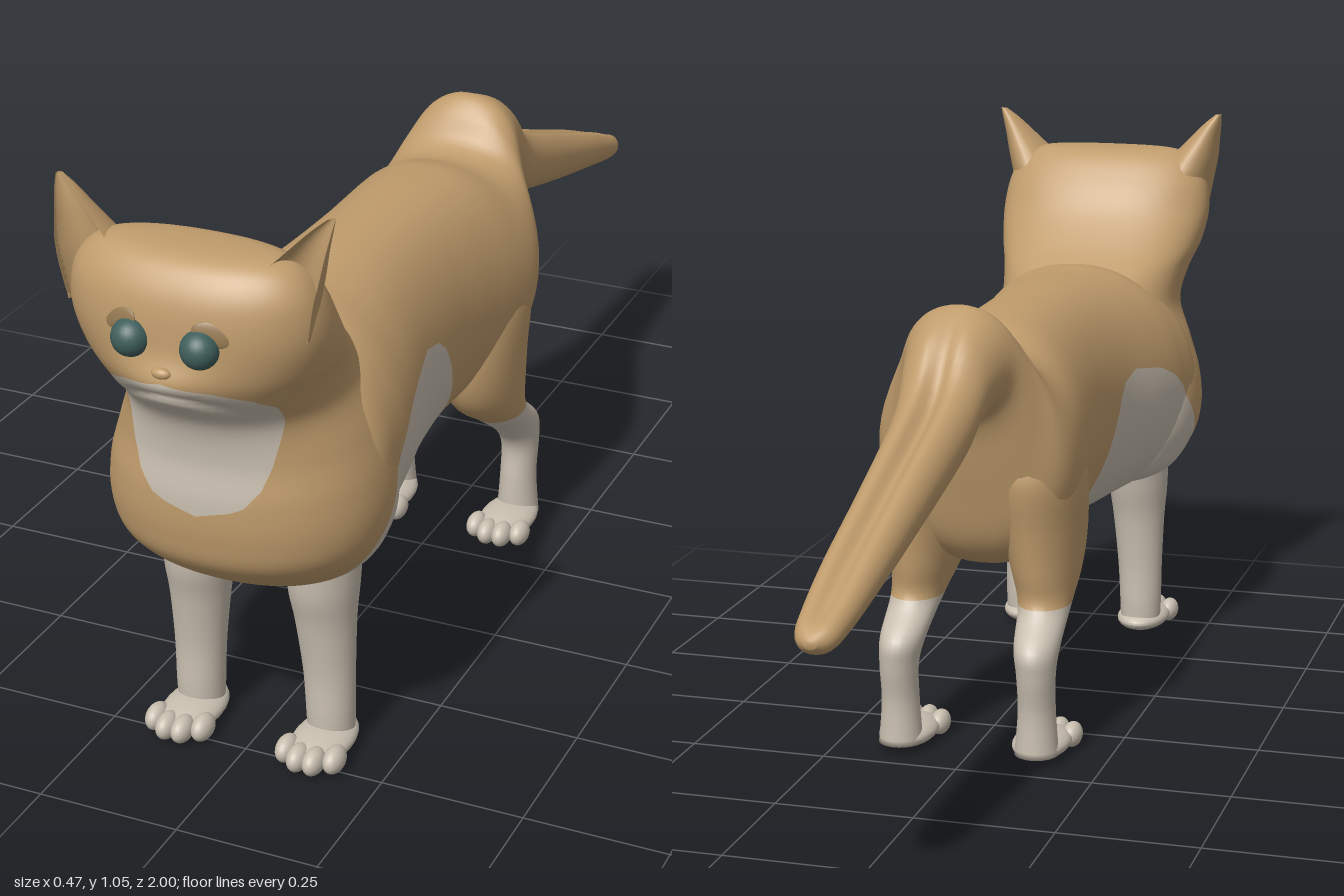
import * as THREE from 'three';

const fur = new THREE.MeshStandardMaterial({ color: 0xc09c6c });
fur.name = 'tanFur';
const cream = new THREE.MeshStandardMaterial({ color: 0xc9bfb0 });
cream.name = 'creamFur';
const eyeTeal = new THREE.MeshStandardMaterial({ color: 0x3f5f5c });
eyeTeal.name = 'eyeTeal';
const lidBrown = new THREE.MeshStandardMaterial({ color: 0x967a52 });
lidBrown.name = 'lidBrown';

// Smoothly subdivide rows of section values
function refine(rows, k) {
  const out = [];
  const at = i => rows[Math.max(0, Math.min(rows.length - 1, i))];
  for (let i = 0; i < rows.length - 1; i++) {
    for (let j = 0; j < k; j++) {
      const t = j / k;
      out.push(rows[i].map((b, c) => {
        const a = at(i - 1)[c], d = at(i + 1)[c], e = at(i + 2)[c];
        return b + 0.5 * t * (d - a + t * (2 * a - 5 * b + 4 * d - e + t * (3 * (b - d) + e - a)));
      }));
    }
  }
  out.push(rows[rows.length - 1]);
  return out;
}

// Closed skin through rings; point(row, angle) gives [x, y, z]
function loft(rows, n, point, k = 5) {
  const pos = [], idx = [];
  const rings = refine(rows, k).map(r =>
    Array.from({ length: n }, (_, j) => point(r, (j / n) * Math.PI * 2)));
  rings.forEach(ring => ring.forEach(p => pos.push(...p)));
  const last = rings.length - 1;
  for (let i = 0; i < last; i++) {
    for (let j = 0; j < n; j++) {
      const a = i * n + j, b = i * n + (j + 1) % n;
      idx.push(a, b, a + n, b, b + n, a + n);
    }
  }
  [0, last].forEach((i, e) => {
    const c = pos.length / 3;
    pos.push(...[0, 1, 2].map(q => rings[i].reduce((s, p) => s + p[q], 0) / n));
    for (let j = 0; j < n; j++) {
      const a = i * n + j, b = i * n + (j + 1) % n;
      if (e) idx.push(a, b, c); else idx.push(b, a, c);
    }
  });
  // Turn the skin outward if its signed volume is negative
  const v = i => new THREE.Vector3().fromArray(pos, i * 3);
  let volume = 0;
  for (let i = 0; i < idx.length; i += 3) volume += v(idx[i]).dot(v(idx[i + 1]).cross(v(idx[i + 2])));
  if (volume < 0) idx.reverse();
  const g = new THREE.BufferGeometry();
  g.setAttribute('position', new THREE.Float32BufferAttribute(pos, 3));
  g.setIndex(idx);
  g.computeVertexNormals();
  return g;
}

// Cut triangles along f = 0; the positive side becomes the second group
function splitColours(geometry, f) {
  const P = geometry.attributes.position, N = geometry.attributes.normal, I = geometry.index;
  const sides = [[], []];
  for (let i = 0; i < I.count; i += 3) {
    const tri = [0, 1, 2].map(q => {
      const a = I.getX(i + q);
      const d = [P.getX(a), P.getY(a), P.getZ(a), N.getX(a), N.getY(a), N.getZ(a)];
      return { d, f: f(d[0], d[1], d[2]) };
    });
    [-1, 1].forEach((s, side) => {
      const poly = [];
      tri.forEach((a, q) => {
        const b = tri[(q + 1) % 3];
        const inA = s > 0 ? a.f > 0 : a.f <= 0, inB = s > 0 ? b.f > 0 : b.f <= 0;
        if (inA) poly.push(a.d);
        if (inA !== inB) poly.push(a.d.map((x, c) => x + (b.d[c] - x) * a.f / (a.f - b.f)));
      });
      for (let q = 1; q < poly.length - 1; q++) sides[side].push(poly[0], poly[q], poly[q + 1]);
    });
  }
  const all = sides[0].concat(sides[1]);
  const g = new THREE.BufferGeometry();
  g.setAttribute('position', new THREE.Float32BufferAttribute(all.flatMap(p => p.slice(0, 3)), 3));
  g.setAttribute('normal', new THREE.Float32BufferAttribute(all.flatMap(p => p.slice(3)), 3));
  g.addGroup(0, sides[0].length, 0);
  g.addGroup(sides[0].length, sides[1].length, 1);
  return g;
}

// Linear lookup in a list of [x, y] pairs with rising x
function lookup(table, x) {
  if (x <= table[0][0]) return table[0][1];
  for (let i = 1; i < table.length; i++) {
    const [x0, y0] = table[i - 1], [x1, y1] = table[i];
    if (x <= x1) return y0 + (y1 - y0) * (x - x0) / (x1 - x0);
  }
  return table[table.length - 1][1];
}

// Cream belly height along z, and bib half-width along y
const belly = [[0.14, 0.25], [0.165, 0.34], [0.19, 0.4], [0.245, 0.51], [0.28, 0.57], [0.31, 0.6], [0.38, 0.618],
  [0.49, 0.6], [0.55, 0.575], [0.6, 0.54], [0.675, 0.445], [0.72, 0.385], [0.76, 0.352]];
const bib = [[0.525, -0.02], [0.533, 0.04], [0.55, 0.08], [0.58, 0.105], [0.62, 0.12], [0.7, 0.138], [0.74, 0.142],
  [0.765, 0.12], [0.785, 0.075], [0.797, 0.01], [0.805, -0.03]];
const creamArea = (x, y, z) =>
  Math.max(lookup(belly, z) - y, Math.min(lookup(bib, y) - Math.abs(x), z - 0.76));

const bend = (v, e) => Math.sign(v) * Math.abs(v) ** e;
const bump = (a, r) => Math.exp(-((a / r) ** 2));

export function createModel() {
  const model = new THREE.Group();
  function add(name, geometry, material, parent = model) {
    const m = new THREE.Mesh(geometry, material);
    m.name = name;
    parent.add(m);
    return m;
  }
  function ball(name, material, p, r, parent) {
    const m = add(name, new THREE.SphereGeometry(1, 24, 16), material, parent);
    m.position.set(...p);
    m.scale.set(...r);
    return m;
  }

  // Trunk running into the tail: z, bottom, top, half-width, groove depth
  const trunk = [
    [0.78, 0.42, 0.66, 0.13, 0], [0.7, 0.335, 0.74, 0.22, 0], [0.6, 0.31, 0.778, 0.222, 0],
    [0.5, 0.313, 0.78, 0.207, 0], [0.35, 0.32, 0.785, 0.176, 0], [0.2, 0.335, 0.785, 0.165, 0],
    [0.08, 0.335, 0.783, 0.17, 0], [-0.02, 0.33, 0.776, 0.18, 0], [-0.1, 0.35, 0.756, 0.184, 0],
    [-0.15, 0.4, 0.77, 0.168, 0], [-0.185, 0.51, 0.82, 0.13, 0], [-0.225, 0.635, 0.84, 0.1, 0],
    [-0.3, 0.625, 0.805, 0.08, 0.015], [-0.39, 0.58, 0.72, 0.07, 0.03], [-0.6, 0.522, 0.636, 0.06, 0.025],
    [-0.8, 0.475, 0.563, 0.052, 0.02], [-0.92, 0.447, 0.515, 0.043, 0.015],
    [-0.975, 0.44, 0.492, 0.033, 0.006], [-1, 0.455, 0.47, 0.01, 0]];
  add('trunkAndTail', splitColours(loft(trunk, 56, ([z, lo, hi, w, groove], a) => {
    const x = w * bend(Math.cos(a), 0.9), s = Math.sin(a);
    const dent = s > 0 ? groove * bump(x, 0.018) : 0;
    return [x, (lo + hi) / 2 + (hi - lo) / 2 * s - dent, z];
  }), creamArea), [fur, cream]);

  // Chest, neck and head as one column: y, front z, back z, half-width
  const column = [
    [0.33, 0.72, 0.56, 0.1], [0.36, 0.8, 0.5, 0.18], [0.42, 0.872, 0.48, 0.22], [0.48, 0.892, 0.48, 0.234],
    [0.55, 0.896, 0.48, 0.228], [0.62, 0.89, 0.49, 0.207], [0.69, 0.905, 0.52, 0.18], [0.75, 0.95, 0.57, 0.187],
    [0.8, 0.968, 0.64, 0.205], [0.86, 0.973, 0.705, 0.214], [0.92, 0.965, 0.75, 0.205],
    [0.96, 0.943, 0.785, 0.18], [0.98, 0.915, 0.815, 0.14], [0.985, 0.88, 0.85, 0.08]];
  add('chestAndHead', splitColours(loft(column, 88, ([y, zf, zb, w], a) => {
    const x = w * bend(Math.cos(a), 0.9), s = Math.sin(a);
    let z = (zf + zb) / 2 + (zf - zb) / 2 * bend(s, 0.9);
    if (s > 0) { // muzzle swelling and mouth crease
      z += 0.024 * bump(x, 0.08) * bump(y - 0.79, 0.035);
      z -= 0.016 * bump(x, 0.075) * bump(y - 0.765 + 2.8 * x * x, 0.01);
    }
    return [x, y, z];
  }, 7), creamArea), [fur, cream]);
  ball('nose', fur, [0, 0.815, 0.985], [0.016, 0.009, 0.009]);

  // Leg sections: y, centre x, centre z, x radius, z radius
  const frontLeg = [[0.42, 0.115, 0.665, 0.06, 0.08], [0.32, 0.114, 0.672, 0.059, 0.07],
    [0.25, 0.116, 0.672, 0.052, 0.054], [0.15, 0.12, 0.67, 0.045, 0.042],
    [0.07, 0.122, 0.67, 0.042, 0.042], [0.02, 0.122, 0.67, 0.04, 0.04]];
  const hindLeg = [[0.6, 0.08, -0.05, 0.07, 0.1], [0.52, 0.095, -0.05, 0.085, 0.13],
    [0.42, 0.105, -0.035, 0.075, 0.13], [0.34, 0.113, -0.045, 0.062, 0.11],
    [0.28, 0.12, -0.085, 0.048, 0.068], [0.22, 0.125, -0.158, 0.041, 0.06],
    [0.17, 0.128, -0.177, 0.035, 0.044], [0.1, 0.128, -0.17, 0.034, 0.04], [0.02, 0.128, -0.17, 0.04, 0.043]];

  for (const s of [1, -1]) {
    const side = s > 0 ? 'left' : 'right';
    const legPoint = ([y, cx, cz, rx, rz], a) => [s * cx + rx * Math.cos(a), y, cz + rz * Math.sin(a)];
    add(side + 'FrontLeg', loft(frontLeg, 28, legPoint), cream);
    add(side + 'HindLeg', splitColours(loft(hindLeg, 28, legPoint), (x, y) => 0.28 - y), [fur, cream]);

    // Paws with four toes each
    [[0.122, 0.7, 'FrontPaw'], [0.126, -0.125, 'HindPaw']].forEach(([px, pz, name]) => {
      const paw = new THREE.Group();
      paw.name = side + name;
      paw.position.set(s * px, 0, pz);
      model.add(paw);
      ball('pad', cream, [0, 0.028, 0], [0.052, 0.024, 0.085], paw);
      [-1.5, -0.5, 0.5, 1.5].forEach(t =>
        ball('toe', cream, [t * 0.029, 0.028, 0.072 - 0.009 * t * t], [0.018, 0.023, 0.03], paw));
    });

    // Ear: crescent sections narrowing to the tip; y, centre x, rim z, half-width, depth
    const ear = [[0.86, 0.145, 0.9, 0.058, 0.1], [0.92, 0.152, 0.905, 0.062, 0.105],
      [0.96, 0.17, 0.9, 0.052, 0.085], [1, 0.193, 0.888, 0.034, 0.055],
      [1.035, 0.214, 0.875, 0.018, 0.028], [1.055, 0.228, 0.865, 0.006, 0.008]];
    add(side + 'Ear', loft(ear, 32, ([y, cx, z, w, d], a) => {
      const v = Math.sin(a), u = w * Math.cos(a);
      return [s * cx + u, y + s * u * 0.1, z + d * (v < 0 ? v : -0.6 * v)];
    }), fur);

    // Eye with a darker lid above it
    ball(side + 'Eye', eyeTeal, [s * 0.058, 0.858, 0.968], [0.031, 0.031, 0.031]);
    const lid = ball(side + 'EyeLid', lidBrown, [s * 0.079, 0.883, 0.963], [0.034, 0.019, 0.005]);
    lid.rotation.set(-0.15, s * 0.3, -s * 0.25);
  }
  return model;
}
